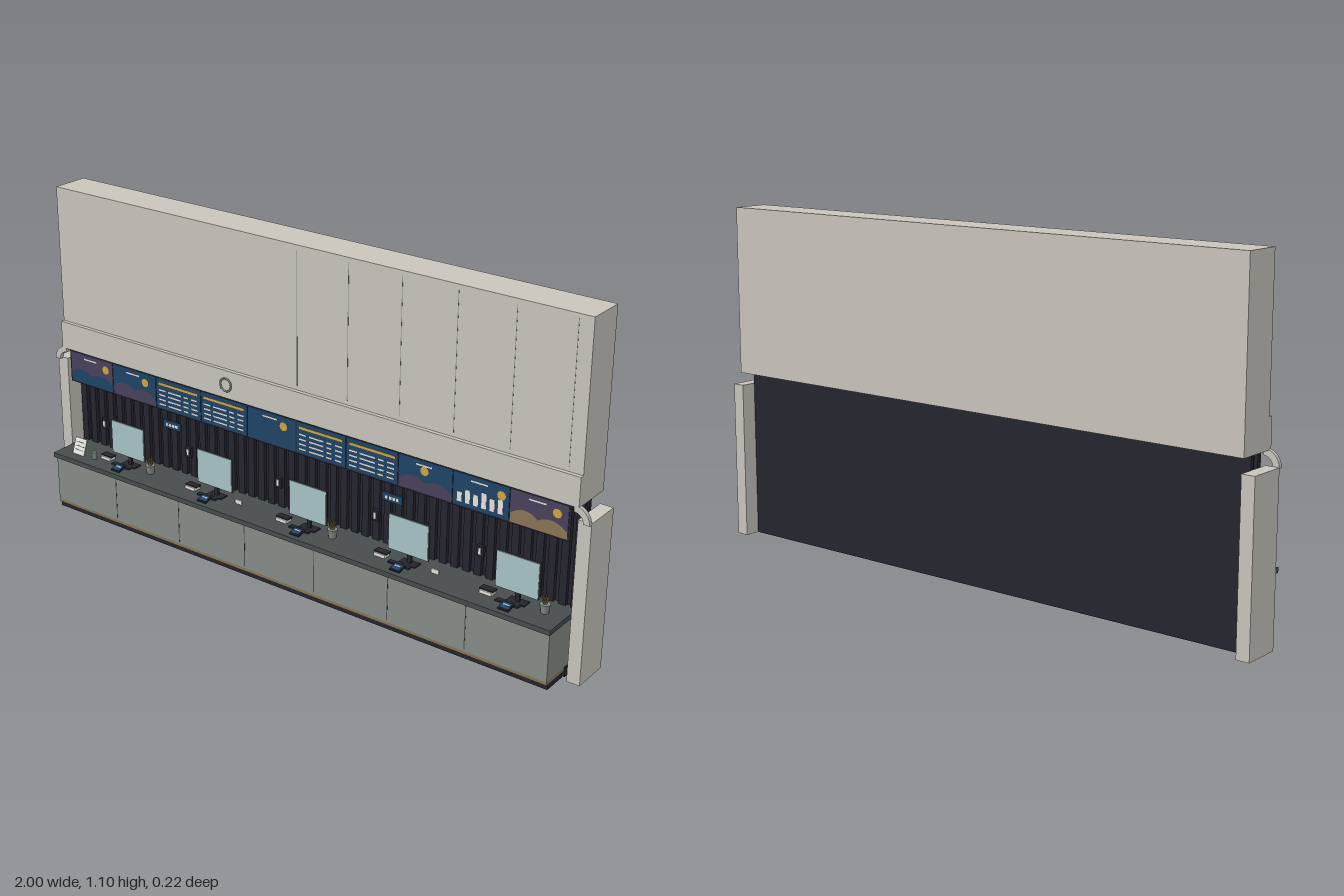
import * as THREE from 'three';

const COLORS = {
  stone: 0xc9c5bd, charcoal: 0x25252e, cabinetGrey: 0x858c86, counterGrey: 0x464d4c, bronze: 0x8a7556,
  navy: 0x1f4468, plum: 0x49405c, gold: 0xd3a53c, paleBlue: 0xa9c4c8, white: 0xe6e4de,
};

export function createModel() {
  const model = new THREE.Group();
  model.name = 'serviceCounter';
  const mats = {};
  for (const [name, color] of Object.entries(COLORS)) {
    mats[name] = new THREE.MeshStandardMaterial({ color });
    mats[name].name = name;
  }

  const add = (name, geo, mat, parent = model) => {
    const mesh = new THREE.Mesh(geo, mats[mat]);
    mesh.name = name;
    parent.add(mesh);
    return mesh;
  };
  // box given by its limits on each axis
  const box = (name, mat, x0, x1, y0, y1, z0, z1, parent) => {
    const mesh = add(name, new THREE.BoxGeometry(x1 - x0, y1 - y0, z1 - z0), mat, parent);
    mesh.position.set((x0 + x1) / 2, (y0 + y1) / 2, (z0 + z1) / 2);
    return mesh;
  };
  const group = (name, x = 0, y = 0, z = 0) => {
    const g = new THREE.Group();
    g.name = name;
    g.position.set(x, y, z);
    model.add(g);
    return g;
  };

  // upper fascia with projecting lip, fine seams and round badge
  box('fascia', 'stone', -0.965, 0.965, 0.555, 1.1, -0.112, 0.012);
  box('fasciaLip', 'stone', -0.965, 0.965, 0.555, 0.647, 0.012, 0.025);
  for (let i = 0; i < 6; i++) {
    const x = i * 0.184;
    box('fasciaSeam', 'cabinetGrey', x - 0.001, x + 0.001, 0.66, 1.085, 0.012, 0.0125);
  }
  add('badgeRing', new THREE.TorusGeometry(0.021, 0.003, 8, 32), 'cabinetGrey').position.set(-0.265, 0.6, 0.027);

  // side posts and the curved trims that meet the fascia
  for (const s of [-1, 1]) {
    const x = s * 0.979;
    box('sidePost', 'stone', x - 0.021, x + 0.021, 0, 0.513, -0.112, 0.012);
    const arc = new THREE.Shape();
    arc.absarc(0, 0, 0.05, 0, Math.PI / 2, false);
    arc.absarc(0, 0, 0.03, Math.PI / 2, 0, true);
    const geo = new THREE.ExtrudeGeometry(arc, { depth: 0.013, bevelEnabled: false, curveSegments: 10 });
    const trim = add('cornerTrim', geo, 'stone');
    trim.position.set(s * 0.95, 0.51, s > 0 ? 0.011 : 0.024);
    if (s < 0) trim.rotation.y = Math.PI;
  }

  // back wall with vertical slats
  box('backWall', 'charcoal', -0.957, 0.957, 0, 0.557, -0.062, -0.05);
  for (let i = 0; i < 48; i++) {
    const x = -0.94 + i * 0.04;
    box('wallSlat', 'charcoal', x - 0.012, x + 0.012, 0.2, 0.555, -0.05, -0.038);
  }

  // counter
  box('floorSlab', 'charcoal', -0.945, 0.945, 0.003, 0.035, -0.05, 0.0);
  box('plinth', 'charcoal', -0.945, 0.942, 0.006, 0.024, 0.01, 0.092);
  box('bronzeKick', 'bronze', -0.945, 0.942, 0.022, 0.034, -0.03, 0.097);
  box('counterBody', 'cabinetGrey', -0.945, 0.942, 0.034, 0.19, -0.05, 0.099);
  box('counterShadowGap', 'charcoal', -0.946, 0.943, 0.185, 0.19, -0.05, 0.1);
  box('countertop', 'counterGrey', -0.952, 0.947, 0.19, 0.206, -0.05, 0.108);
  for (let i = 0; i < 6; i++) {
    const x = -0.68 + i * 0.27;
    box('cabinetSeam', 'counterGrey', x - 0.0015, x + 0.0015, 0.04, 0.185, 0.099, 0.0995);
  }

  // overhead screens: one housing, then ten painted panels
  box('screenHousing', 'charcoal', -0.94, 0.94, 0.44, 0.555, 0.0, 0.016);
  const W = 0.187, Z = 0.016;
  const scenes = [
    { bg: 'plum', sun: 0.155, hills: 'navy' },
    { bg: 'navy', sun: 0.14, hills: 'plum' },
    { board: true }, { board: true },
    { bg: 'navy', sun: 0.14, hills: 'navy' },
    { board: true }, { board: true },
    { bg: 'navy', sun: 0.09, hills: 'plum' },
    { bg: 'navy', sun: 0.16, towers: true },
    { bg: 'plum', sun: 0.15, hills: 'bronze' },
  ];
  scenes.forEach((s, i) => {
    const g = group('screen', -0.935 + i * W, 0.446, Z);
    box('screenFace', s.bg || 'navy', 0.002, W - 0.002, 0, 0.102, 0, 0.002, g);
    if (s.board) {
      box('boardHeader', 'gold', 0.012, W - 0.012, 0.08, 0.088, 0.002, 0.003, g);
      for (let r = 0; r < 4; r++) {
        for (const [a, b] of [[0.012, 0.04], [0.05, 0.105], [0.115, 0.135], [0.147, 0.172]]) {
          box('boardEntry', 'white', a, b, 0.012 + r * 0.016, 0.017 + r * 0.016, 0.002, 0.003, g);
        }
      }
      return;
    }
    box('titleBar', 'white', 0.06, 0.115, 0.084, 0.089, 0.002, 0.003, g);
    add('sun', new THREE.CircleGeometry(0.014, 20), 'gold', g).position.set(s.sun, 0.07, 0.003);
    if (s.towers) {
      [0.03, 0.042, 0.035, 0.048, 0.038, 0.044].forEach((h, k) =>
        box('tower', 'white', 0.015 + k * 0.027, 0.031 + k * 0.027, 0.012, 0.012 + h, 0.002, 0.003, g));
    } else {
      const hill = new THREE.Shape();
      hill.moveTo(0.003, 0);
      hill.lineTo(0.003, 0.028);
      hill.quadraticCurveTo(0.05, 0.065, 0.09, 0.03);
      hill.quadraticCurveTo(0.14, 0.06, W - 0.003, 0.02);
      hill.lineTo(W - 0.003, 0);
      add('hills', new THREE.ShapeGeometry(hill), s.hills, g).position.z = 0.0028;
    }
  });

  // small wall signs
  for (const x of [-0.545, 0.32]) {
    const g = group('wallSign', x, 0.365, -0.036);
    box('signPlate', 'navy', -0.036, 0.036, -0.014, 0.014, -0.002, 0.003, g);
    for (let k = 0; k < 4; k++) {
      box('signMark', 'white', -0.024 + k * 0.013, -0.015 + k * 0.013, -0.005, 0.005, 0.003, 0.004, g);
    }
  }

  // five workstations
  const top = 0.206;
  for (let i = 0; i < 5; i++) {
    const g = group('workstation', -0.68 + i * 0.3685, top, 0);
    box('monitorFrame', 'counterGrey', -0.071, 0.071, 0.033, 0.15, 0.028, 0.033, g);
    box('monitorScreen', 'paleBlue', -0.069, 0.069, 0.035, 0.148, 0.033, 0.035, g);
    box('monitorNeck', 'charcoal', -0.007, 0.007, 0, 0.06, 0.02, 0.028, g);
    box('monitorBase', 'charcoal', -0.03, 0.03, 0, 0.004, 0.008, 0.04, g);
    box('keyboard', 'charcoal', -0.055, 0.02, 0, 0.005, 0.042, 0.058, g);
    // tilted tablet
    const tablet = new THREE.Group();
    tablet.name = 'tablet';
    tablet.position.set(-0.007, 0.008, 0.078);
    tablet.rotation.x = 0.25;
    g.add(tablet);
    box('tabletBody', 'charcoal', -0.018, 0.018, -0.003, 0.002, -0.016, 0.016, tablet);
    box('tabletScreen', 'navy', -0.014, 0.014, 0.002, 0.003, -0.012, 0.012, tablet);
    box('tabletLine', 'paleBlue', -0.01, 0.01, 0.003, 0.0035, -0.006, -0.001, tablet);
    // document stack and stamp
    box('paperStack', 'white', -0.115, -0.075, 0, 0.01, 0.018, 0.045, g);
    box('documentTray', 'charcoal', -0.118, -0.072, 0.01, 0.014, 0.016, 0.04, g);
    // wall phone
    box('wallPhone', 'charcoal', -0.172, -0.15, 0.07, 0.105, -0.038, -0.026, g);
    box('wallPhoneFace', 'white', -0.165, -0.157, 0.078, 0.098, -0.026, -0.024, g);
    // potted plants at every other desk
    if (i % 2 === 0) {
      const pot = add('plantPot', new THREE.CylinderGeometry(0.016, 0.012, 0.028, 12), 'cabinetGrey', g);
      pot.position.set(0.09, 0.014, 0.028);
      for (let k = 0; k < 7; k++) {
        const a = (k / 7) * Math.PI * 2;
        const leaf = add('plantLeaf', new THREE.ConeGeometry(0.005, 0.045, 5), 'bronze', g);
        leaf.position.set(0.09 + Math.cos(a) * 0.009, 0.044, 0.028 + Math.sin(a) * 0.009);
        leaf.rotation.set(Math.sin(a) * 0.4, 0, -Math.cos(a) * 0.4);
      }
    } else {
      box('deskCard', 'white', 0.08, 0.105, 0, 0.014, 0.025, 0.03, g);
    }
  }

  // leaning notice at the end of the counter
  const notice = group('noticeStand', -0.872, top + 0.028, 0.062);
  notice.rotation.x = -0.35;
  box('noticeCard', 'white', -0.025, 0.025, -0.028, 0.028, -0.002, 0.002, notice);
  for (let k = 0; k < 3; k++) {
    box('noticeLine', 'cabinetGrey', -0.018, 0.018, -0.014 + k * 0.013, -0.011 + k * 0.013, 0.002, 0.003, notice);
  }
  add('penCup', new THREE.CylinderGeometry(0.009, 0.008, 0.025, 12), 'cabinetGrey').position.set(-0.81, top + 0.012, 0.06);

  return model;
}
